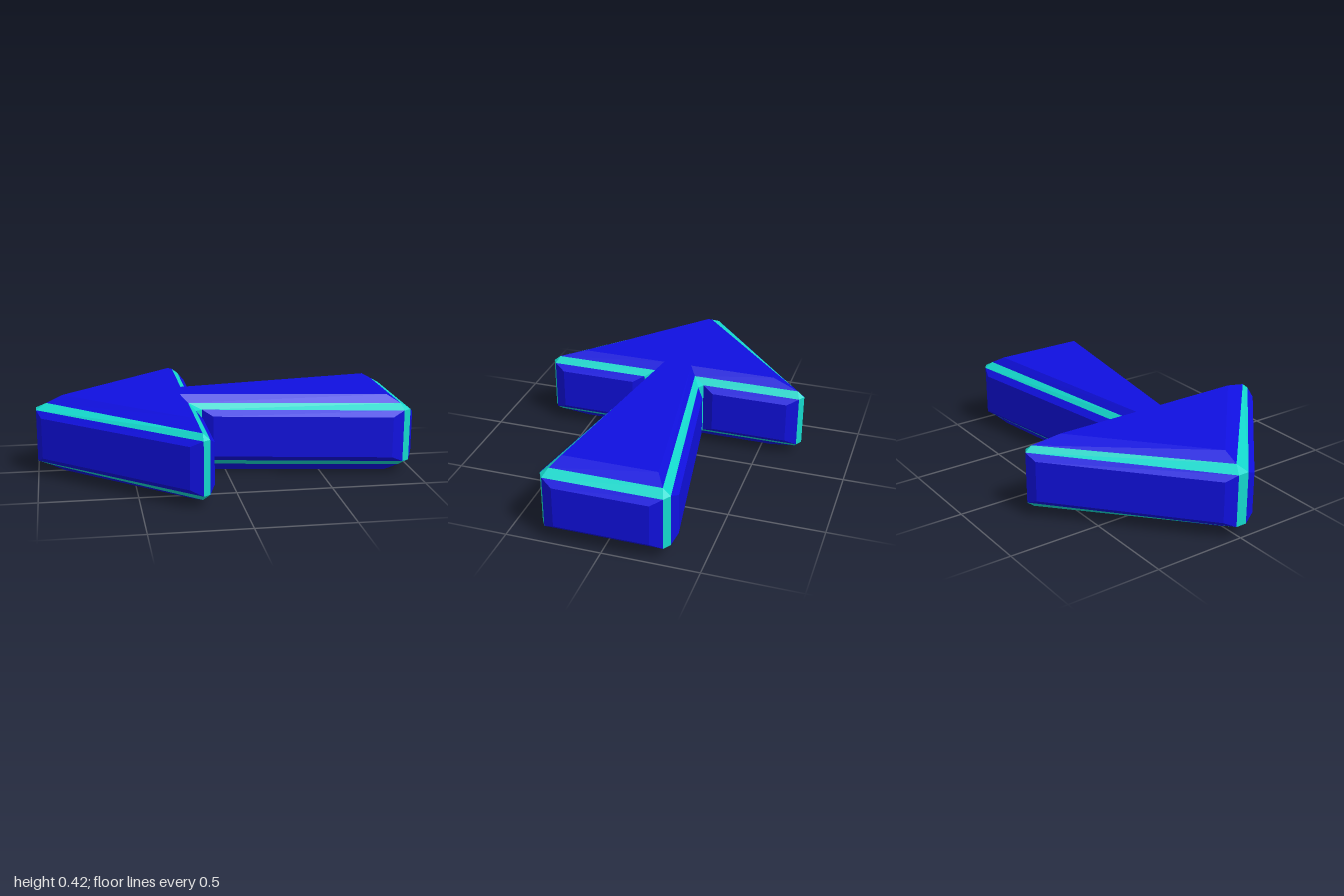
import * as THREE from 'three';

const H = 0.42;               // total height
const MID = [0.07, 0.35];     // wall bottom and top
const RIM = 0.38;             // where the bevel meets the top face
const PANEL = { inset: 0.06, bulge: 0.03, lift: 0.03 };

// Corners for z >= 0: a = end of the previous wall, b = start of the next wall,
// t = rim of the top face, u = flat centre of the top face. All are [x, z].
const half = [
  { a: [-0.2, 0.727], b: [-0.165, 0.705], t: [-0.2, 0.69], u: [-0.24, 0.545] },      // wing
  { a: [-0.165, 0.172], b: [-0.13, 0.152], t: [-0.2, 0.112], u: [-0.24, 0.078] },    // notch
  { a: [0.925, 0.33], b: [0.965, 0.305], t: [0.915, 0.287], u: [0.85, 0.245] },      // tail
];
const flip = ([x, z]) => [x, -z];
const tip = { a: [-1, -0.03], b: [-1, 0.03], t: [-0.945, 0], u: [-0.86, 0] };
const corners = [
  tip,
  ...half,
  ...half.slice().reverse().map((c) => ({ a: flip(c.b), b: flip(c.a), t: flip(c.t), u: flip(c.u) })),
];

// Collects flat polygons (corners counter-clockwise from outside)
class Faces {
  constructor() { this.points = []; }
  add(...p) {
    for (let i = 1; i < p.length - 1; i++) this.points.push(...p[0], ...p[i], ...p[i + 1]);
  }
  mesh(name, color) {
    const geometry = new THREE.BufferGeometry();
    geometry.setAttribute('position', new THREE.Float32BufferAttribute(this.points, 3));
    geometry.computeVertexNormals();
    const material = new THREE.MeshStandardMaterial({ color, flatShading: true });
    const mesh = new THREE.Mesh(geometry, material);
    mesh.name = name;
    return mesh;
  }
}

const at = ([x, z], y) => [x, y, z];

export function createModel() {
  const trim = new Faces(), walls = new Faces(), top = new Faces(), bottom = new Faces();

  // Adds a polygon to the upper side and its mirror image to the lower side
  const both = (upper, lower, ...p) => {
    upper.add(...p);
    lower.add(...p.map(([x, y, z]) => [x, H - y, z]).reverse());
  };

  corners.forEach((c, k) => {
    const n = corners[(k + 1) % corners.length];

    // Bright bevels: upright corner strip, corner triangle, long edge strip
    trim.add(at(c.a, MID[0]), at(c.b, MID[0]), at(c.b, MID[1]), at(c.a, MID[1]));
    both(trim, trim, at(c.a, MID[1]), at(c.b, MID[1]), at(c.t, RIM));
    both(trim, trim, at(c.b, MID[1]), at(n.a, MID[1]), at(n.t, RIM), at(c.t, RIM));

    // Gentle slope from the rim to the flat centre
    both(top, bottom, at(c.t, RIM), at(n.t, RIM), at(n.u, H), at(c.u, H));

    // Wall with a raised panel
    const dx = n.a[0] - c.b[0], dz = n.a[1] - c.b[1], len = Math.hypot(dx, dz);
    const d = [dx / len, dz / len];
    const raised = ([x, z], s) => [
      x + d[0] * s * PANEL.inset - d[1] * PANEL.bulge,
      z + d[1] * s * PANEL.inset + d[0] * PANEL.bulge,
    ];
    const p = raised(c.b, 1), q = raised(n.a, -1);
    const y0 = MID[0] + PANEL.lift, y1 = MID[1] - PANEL.lift;
    const outer = [at(c.b, MID[0]), at(n.a, MID[0]), at(n.a, MID[1]), at(c.b, MID[1])];
    const inner = [at(p, y0), at(q, y0), at(q, y1), at(p, y1)];
    walls.add(...inner);
    for (let i = 0; i < 4; i++) {
      const j = (i + 1) % 4;
      walls.add(outer[i], outer[j], inner[j], inner[i]);
    }
  });

  // Flat centres of the top and bottom
  const outline = corners.map((c) => new THREE.Vector2(c.u[0], -c.u[1]));
  for (const tri of THREE.ShapeUtils.triangulateShape(outline, [])) {
    both(top, bottom, ...tri.map((i) => at(corners[i].u, H)));
  }

  const group = new THREE.Group();
  group.name = 'arrow';
  const blue = 0x1010e0, cyan = 0x14d8cc;
  group.add(
    top.mesh('topFace', blue),
    bottom.mesh('bottomFace', blue),
    walls.mesh('sidePanels', blue),
    trim.mesh('bevelTrim', cyan),
  );
  return group;
}
